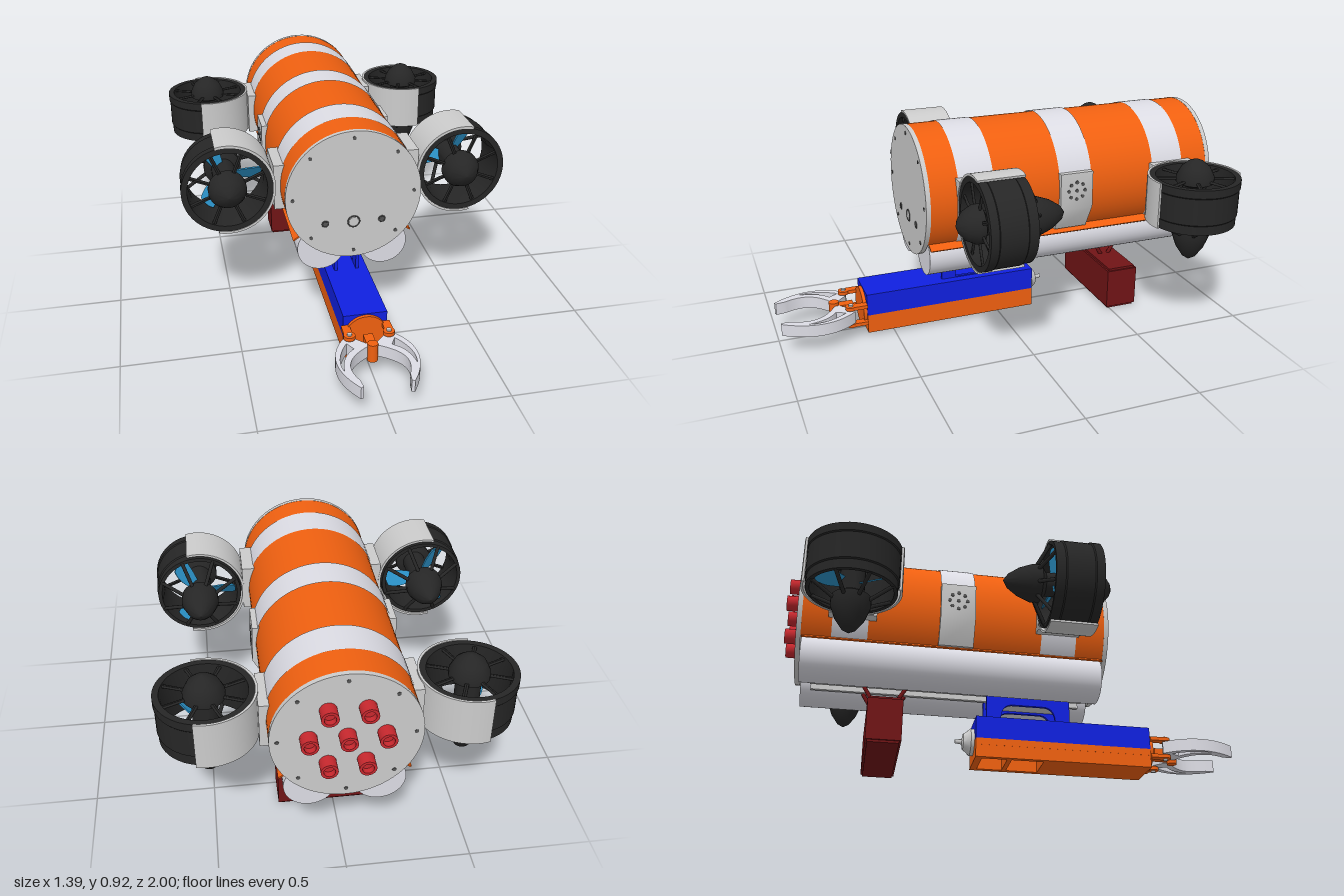
import * as THREE from 'three';
import { toCreasedNormals } from 'three/addons/utils/BufferGeometryUtils.js';

const PI = Math.PI;
const mat = (color) => new THREE.MeshStandardMaterial({ color, side: THREE.DoubleSide });
const ORANGE = mat(0xf06010), WHITE = mat(0xdcdce4), GREY = mat(0xcccccc), BLACK = mat(0x262626),
  BLUE = mat(0x1020e0), CYAN = mat(0x2a8fc4), DARKRED = mat(0x701416), RED = mat(0xc8282e), DARK = mat(0x555555);
const HULL_Y = 0.63;

function add(parent, name, geo, material, x = 0, y = 0, z = 0) {
  const mesh = new THREE.Mesh(geo, material);
  mesh.name = name;
  mesh.position.set(x, y, z);
  parent.add(mesh);
  return mesh;
}
const box = (w, h, d) => new THREE.BoxGeometry(w, h, d);
// cylinder along z
const rod = (r, len, seg = 24) => new THREE.CylinderGeometry(r, r, len, seg).rotateX(PI / 2);
const vecs = (pts) => pts.map(([a, b]) => new THREE.Vector2(a, b));
// profile of [radius, z] turned around z
const turned = (pts, seg = 40) =>
  toCreasedNormals(new THREE.LatheGeometry(vecs(pts), seg).rotateX(PI / 2), 0.6);
const extrude = (shape, depth) =>
  toCreasedNormals(new THREE.ExtrudeGeometry(shape, { depth, bevelEnabled: false, curveSegments: 24 }), 0.6);
function rectHole(shape, x0, y0, x1, y1) {
  shape.holes.push(new THREE.Path(vecs([[x0, y0], [x0, y1], [x1, y1], [x1, y0]])));
}
function strut(parent, name, a, b, r, material) {
  const p = new THREE.Vector3(...a), q = new THREE.Vector3(...b);
  const m = add(parent, name, new THREE.CylinderGeometry(r, r, p.distanceTo(q), 8), material);
  m.position.copy(p).add(q).multiplyScalar(0.5);
  m.quaternion.setFromUnitVectors(new THREE.Vector3(0, 1, 0), q.sub(p).normalize());
}

function hull() {
  const g = new THREE.Group();
  g.name = 'hull';
  // shell and bands are open at the bottom, where the ballast tubes sit
  const arc = (r, z0, z1) => new THREE.CylinderGeometry(r, r, z0 - z1, 64, 1, true, 0.885, 2 * PI - 1.77)
    .rotateX(PI / 2).translate(0, HULL_Y, (z0 + z1) / 2);
  add(g, 'shell', arc(0.284, 0.375, -0.925), ORANGE);
  for (const [z0, z1, r] of [[0.25, 0.095, 0.287], [-0.2, -0.35, 0.289], [-0.65, -0.8, 0.287]])
    add(g, 'band', arc(r, z0, z1), WHITE);
  add(g, 'innerHull', rod(0.22, 1.28, 40), GREY, 0, HULL_Y, -0.275);
  // end plates with screws
  for (const [z, dir] of [[0.385, 1], [-0.935, -1]]) {
    add(g, 'endPlate', rod(0.285, 0.02, 64), GREY, 0, HULL_Y, z);
    for (let i = 0; i < 8; i++) {
      const a = i * PI / 4;
      add(g, 'screw', rod(0.008, 0.004, 10), DARK, 0.255 * Math.cos(a), HULL_Y + 0.255 * Math.sin(a), z + dir * 0.01);
    }
  }
  for (const [x, r] of [[-0.12, 0.013], [0, 0.025], [0.12, 0.013]]) {
    add(g, 'port', new THREE.TorusGeometry(r, 0.003, 6, 20), DARK, x, 0.51, 0.395);
    add(g, 'portFace', rod(r * 0.8, 0.004, 16), x ? DARK : GREY, x, 0.51, 0.395);
  }
  // rear connectors: one in the middle, six around it
  const plug = turned([[0, -0.03], [0.033, -0.03], [0.033, 0.03], [0.022, 0.03], [0.022, 0.005], [0, 0.005]], 16);
  plug.rotateY(PI);
  for (let i = 0; i < 7; i++) {
    const r = i ? 0.142 : 0, a = i * PI / 3;
    add(g, 'rearConnector', plug, RED, r * Math.cos(a), HULL_Y + 0.01 + r * Math.sin(a), -0.97);
  }
  for (const s of [-1, 1]) {
    add(g, 'ballastTube', rod(0.1, 1.29, 40), WHITE, s * 0.135, 0.385, -0.275);
    add(g, 'shellFlange', box(0.04, 0.006, 1.29), ORANGE, s * 0.235, 0.443, -0.275).rotation.z = -s * 0.6;
    add(g, 'keelRail', box(0.015, 0.04, 1.2), GREY, s * 0.033, 0.34, -0.275);
    // side plate with a ring of vents
    const plate = new THREE.Shape(vecs([[0.2, 0.72], [0.298, 0.72], [0.302, 0.56], [0.243, 0.45], [0.2, 0.45]]
      .map(([x, y]) => [s * x, y])));
    add(g, 'sidePlate', extrude(plate, 0.15), GREY, 0, 0, -0.35);
    for (let i = 0; i < 9; i++) {
      const r = i ? 0.038 : 0, a = i * PI / 4;
      add(g, 'vent', rod(0.008, 0.006, 10), DARK, s * 0.3, 0.64 + r * Math.sin(a), -0.275 + r * Math.cos(a))
        .rotation.y = PI / 2;
    }
  }
  return g;
}

// ducted thruster along z; the bracket points toward the hull
function thruster(side) {
  const g = new THREE.Group();
  g.name = 'thruster';
  add(g, 'duct', turned([[0.166, -0.1], [0.182, -0.1], [0.182, -0.06], [0.187, -0.055], [0.187, 0.06],
    [0.191, 0.065], [0.191, 0.1], [0.166, 0.1], [0.16, 0], [0.166, -0.1]], 48), BLACK);
  add(g, 'motorPod', turned([[0, -0.285], [0.03, -0.265], [0.06, -0.22], [0.08, -0.165], [0.08, -0.13],
    [0.05, -0.11], [0.05, 0.06], [0.08, 0.075], [0.08, 0.1], [0.06, 0.14], [0.03, 0.165], [0, 0.177]], 32), BLACK);
  for (let i = 0; i < 8; i++) {
    const a = (i + 0.5) * PI / 4;
    for (const d of [-0.045, 0.045]) {
      const c = Math.cos(a + d), s = Math.sin(a + d), c2 = Math.cos(a + d / 2), s2 = Math.sin(a + d / 2);
      strut(g, 'frontSpoke', [0.07 * c, 0.07 * s, 0.088], [0.175 * c2, 0.175 * s2, 0.088], 0.005, BLACK);
    }
    const c = Math.cos(a), s = Math.sin(a);
    strut(g, 'rearSpoke', [0.07 * c, 0.07 * s, -0.15], [0.172 * c, 0.172 * s, -0.095], 0.008, BLACK);
  }
  // three pitched blades
  const blade = new THREE.Shape();
  blade.moveTo(0.04, -0.022);
  blade.quadraticCurveTo(0.1, -0.05, 0.15, -0.035);
  blade.quadraticCurveTo(0.168, 0, 0.155, 0.035);
  blade.quadraticCurveTo(0.1, 0.035, 0.04, 0.022);
  const bladeGeo = extrude(blade, 0.006).rotateX(0.6);
  for (let i = 0; i < 3; i++)
    add(g, 'blade', bladeGeo, CYAN, 0, 0, -0.07).rotation.z = (side > 0 ? PI : 0) + i * 2 * PI / 3;
  const arm = new THREE.Group();
  arm.name = 'thrusterBracket';
  const half = 1.8, clamp = new THREE.Shape();
  clamp.absarc(0, 0, 0.2, -half, half, false);
  clamp.absarc(0, 0, 0.19, half, -half, true);
  add(arm, 'clamp', extrude(clamp, 0.2), GREY, 0, 0, -0.097);
  add(arm, 'mountBlock', box(0.06, 0.2, 0.19), GREY, 0.222, -0.01);
  arm.rotation.z = side > 0 ? PI : 0;
  g.add(arm);
  return g;
}

function manipulator() {
  const g = new THREE.Group();
  g.name = 'manipulatorArm';
  add(g, 'armCover', box(0.185, 0.1, 0.78), BLUE, 0, 0.15, 0.23);
  add(g, 'armBase', box(0.185, 0.03, 0.78), ORANGE, 0, 0.085, 0.23);
  const frame = new THREE.Shape(vecs([[-0.092, -0.16], [0.092, -0.16], [0.092, 0.62], [-0.092, 0.62]]));
  rectHole(frame, -0.07, -0.13, 0.07, -0.02);
  rectHole(frame, -0.07, 0.0, 0.07, 0.14);
  add(g, 'armUnderside', extrude(frame, 0.057).rotateX(PI / 2), ORANGE, 0, 0.072, 0);
  // hanger plates with an arched cutout
  const hanger = new THREE.Shape(vecs([[-0.11, 0.195], [0.265, 0.195], [0.265, 0.32], [-0.11, 0.32]]));
  const arch = new THREE.Path();
  arch.moveTo(-0.045, 0.205);
  arch.quadraticCurveTo(-0.045, 0.278, 0.01, 0.278);
  arch.lineTo(0.145, 0.278);
  arch.quadraticCurveTo(0.2, 0.278, 0.2, 0.205);
  hanger.holes.push(arch);
  for (const s of [-1, 1])
    add(g, 'hangerPlate', extrude(hanger, 0.014).rotateY(-PI / 2), BLUE, s * 0.048 + 0.007, 0, 0);
  add(g, 'hangerBlock', box(0.07, 0.07, 0.36), GREY, 0, 0.32, 0.08);
  add(g, 'rearCap', turned([[0, -0.08], [0.008, -0.08], [0.012, -0.05], [0.035, -0.045], [0.045, -0.03],
    [0.06, -0.015], [0.06, 0.01], [0, 0.01]], 24), GREY, 0, 0.11, -0.16);
  // gripper base
  add(g, 'wrist', rod(0.088, 0.02, 32), ORANGE, 0, 0.108, 0.625);
  add(g, 'pushRod', box(0.04, 0.05, 0.09), ORANGE, 0, 0.108, 0.71);
  add(g, 'pushRodPin', new THREE.CylinderGeometry(0.022, 0.022, 0.08, 16), ORANGE, 0, 0.108, 0.75);
  for (const s of [-1, 1]) {
    for (const y of [0.068, 0.148]) {
      add(g, 'clevis', box(0.035, 0.016, 0.08), ORANGE, s * 0.085, y, 0.66);
      add(g, 'clevisEnd', new THREE.CylinderGeometry(0.024, 0.024, 0.016, 16), ORANGE, s * 0.082, y, 0.69);
    }
    add(g, 'pivotPin', new THREE.CylinderGeometry(0.01, 0.01, 0.11, 12), GREY, s * 0.082, 0.108, 0.69);
    // curved claw with a long window
    const claw = new THREE.Shape();
    claw.moveTo(s * 0.06, 0.69);
    claw.lineTo(s * 0.1, 0.675);
    claw.bezierCurveTo(s * 0.17, 0.75, s * 0.2, 0.86, s * 0.105, 0.995);
    claw.lineTo(s * 0.093, 0.99);
    claw.lineTo(s * 0.098, 0.95);
    claw.bezierCurveTo(s * 0.135, 0.87, s * 0.12, 0.81, s * 0.02, 0.75);
    claw.lineTo(s * 0.02, 0.73);
    const slot = new THREE.Path();
    slot.moveTo(s * 0.1, 0.715);
    slot.bezierCurveTo(s * 0.14, 0.77, s * 0.16, 0.83, s * 0.145, 0.885);
    slot.bezierCurveTo(s * 0.137, 0.82, s * 0.12, 0.785, s * 0.078, 0.755);
    claw.holes.push(slot);
    add(g, 'claw', extrude(claw, 0.054).rotateX(PI / 2), WHITE, 0, 0.135, 0);
  }
  return g;
}

function sensorBox() {
  const g = new THREE.Group();
  g.name = 'sensorBox';
  add(g, 'boxBody', box(0.464, 0.18, 0.146), DARKRED, 0, 0.1, -0.557);
  add(g, 'boxCore', box(0.45, 0.2, 0.13), DARKRED, 0, 0.1, -0.557);
  for (const x of [-0.045, 0.045])
    for (const d of [-1, 1])
      strut(g, 'boxStrut', [x, 0.32, -0.557 + d * 0.09], [x, 0.19, -0.557 + d * 0.015], 0.009, DARKRED);
  return g;
}

export function createModel() {
  const model = new THREE.Group();
  model.name = 'underwaterVehicle';
  model.add(hull(), manipulator(), sensorBox());
  for (const s of [-1, 1]) {
    const front = thruster(s), rear = thruster(s);
    front.name = 'forwardThruster';
    front.position.set(s * 0.503, 0.64, 0.165);
    rear.name = 'verticalThruster';
    rear.position.set(s * 0.503, 0.62, -0.727);
    rear.rotation.x = -PI / 2;
    model.add(front, rear);
  }
  return model;
}
